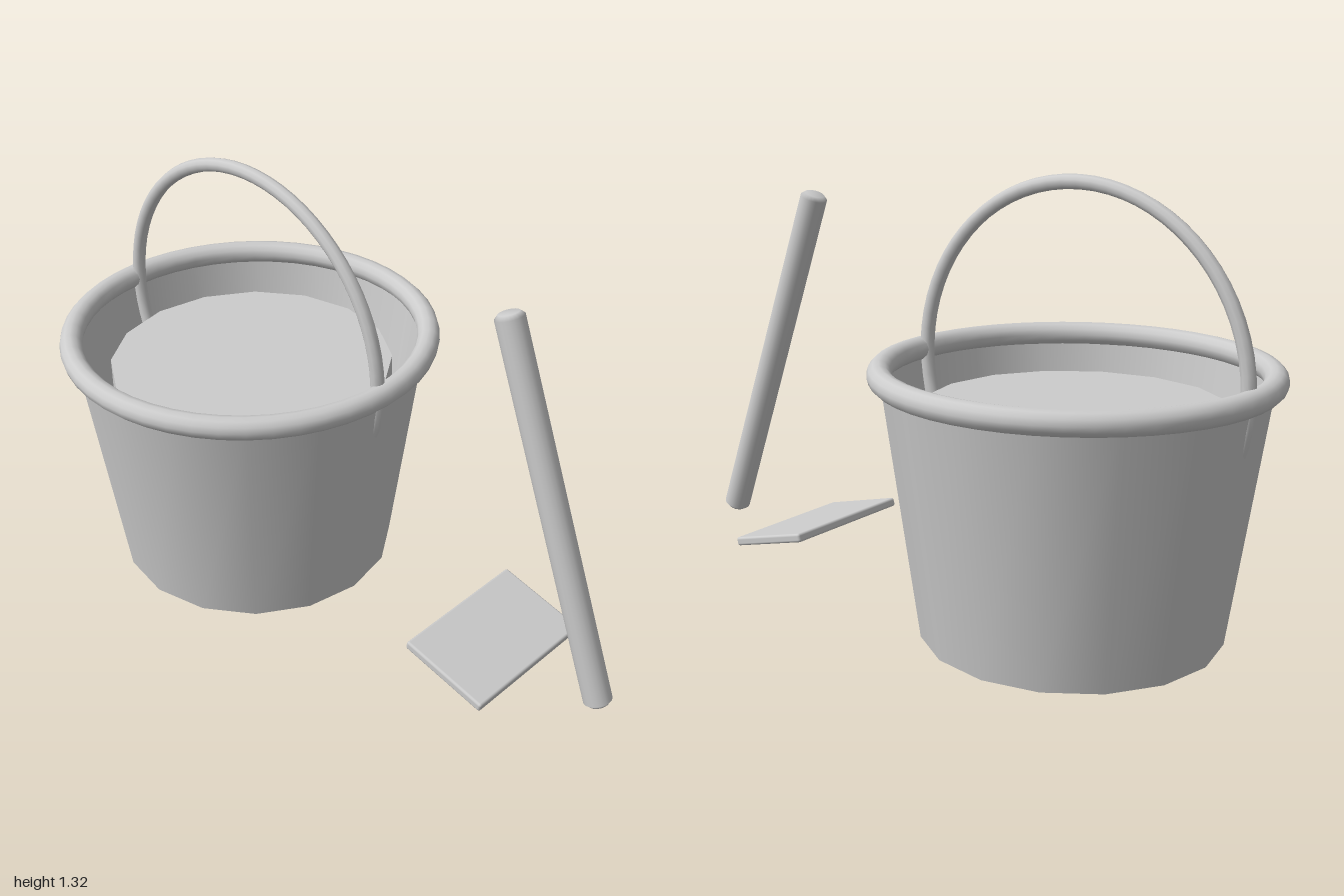
import * as THREE from 'three';
import { RoundedBoxGeometry } from 'three/addons/geometries/RoundedBoxGeometry.js';

export function createModel() {
  const model = new THREE.Group();
  const grey = new THREE.MeshStandardMaterial({ color: 0xcccccc });
  grey.name = 'pale grey';
  const greyOpen = new THREE.MeshStandardMaterial({ color: 0xcccccc, side: THREE.DoubleSide });
  greyOpen.name = 'pale grey open';

  const add = (parent, name, geometry, material = grey) => {
    const mesh = new THREE.Mesh(geometry, material);
    mesh.name = name;
    parent.add(mesh);
    return mesh;
  };

  // Bucket: tapered open wall, filled core, rolled rim and hoop handle
  const bucket = new THREE.Group();
  bucket.name = 'bucket';
  bucket.position.x = -0.415;
  model.add(bucket);

  const rimY = 0.767;
  add(bucket, 'bucketWall', new THREE.CylinderGeometry(0.55, 0.44, rimY, 16, 1, true), greyOpen)
    .position.y = rimY / 2;
  add(bucket, 'filling', new THREE.CylinderGeometry(0.44, 0.44, 0.67, 16))
    .position.y = 0.335;

  const rim = add(bucket, 'rim', new THREE.TorusGeometry(0.55, 0.035, 12, 48));
  rim.rotation.x = Math.PI / 2;
  rim.position.y = rimY;

  // The hoop runs past a half circle so its ends pass through the wall
  const extra = 0.6;
  const handle = add(bucket, 'handle', new THREE.TorusGeometry(0.53, 0.021, 10, 48, Math.PI + 2 * extra));
  handle.rotation.z = -extra;
  handle.position.y = rimY;

  // Leaning stick with softened ends
  const r = 0.042, half = 0.583, bevel = 0.012;
  const profile = [[0, -half], [r - bevel, -half], [r, -half + bevel],
    [r, half - bevel], [r - bevel, half], [0, half]].map(([x, y]) => new THREE.Vector2(x, y));
  const stick = add(model, 'stick', new THREE.LatheGeometry(profile, 20));
  stick.position.set(0.761, 0.651, 0);
  stick.rotation.z = THREE.MathUtils.degToRad(20);

  // Tilted plate beside the stick
  const plate = add(model, 'plate', new RoundedBoxGeometry(0.287, 0.028, 0.466, 2, 0.008));
  plate.position.set(0.584, 0.121, 0);
  plate.rotation.z = THREE.MathUtils.degToRad(-14.5);

  return model;
}
